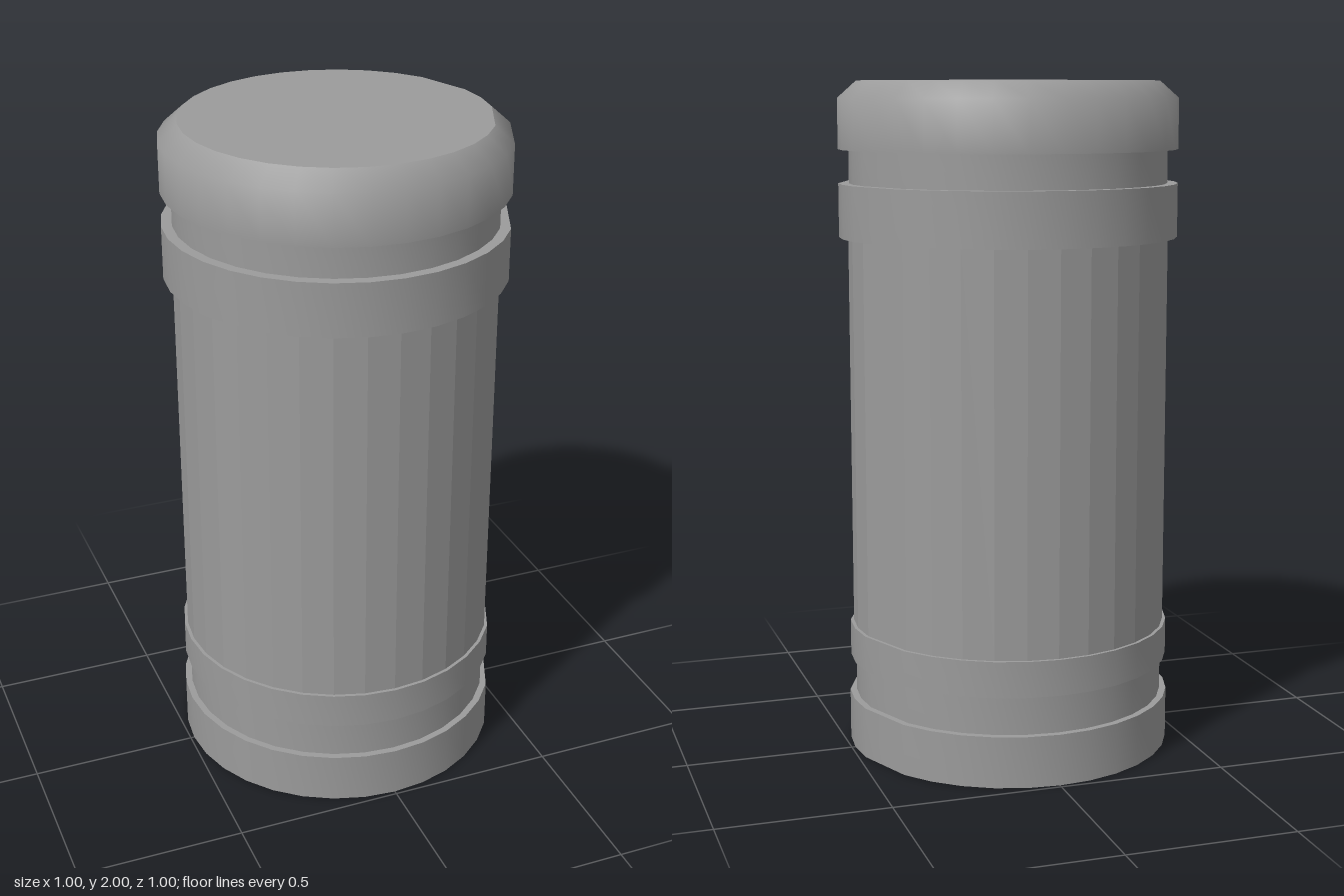
import * as THREE from 'three';
import { toCreasedNormals } from 'three/addons/utils/BufferGeometryUtils.js';

const SIDES = 32;
const STEP = (Math.PI * 2) / SIDES;

// Turned part; the two corners 22.5 degrees either side of +x are flattened onto wide facets
function turned(name, profile, crease) {
  const geometry = new THREE.LatheGeometry(profile.map(([r, y]) => new THREE.Vector2(r, y)), SIDES);
  const p = geometry.attributes.position;
  for (let i = 0; i < p.count; i++) {
    const x = p.getX(i), z = p.getZ(i);
    const angle = Math.abs(Math.atan2(z, x));
    if (Math.abs(angle - 2 * STEP) < 0.01) {
      p.setX(i, x * Math.cos(STEP));
      p.setZ(i, z * Math.cos(STEP));
    }
  }
  const flat = crease === 0;
  const material = new THREE.MeshStandardMaterial({ color: 0x9b9b9b, flatShading: flat });
  const mesh = new THREE.Mesh(flat ? geometry : toCreasedNormals(geometry, crease), material);
  mesh.name = name;
  return mesh;
}

// Straight band with a shelf at each end
const band = (name, r, y0, y1) => turned(name, [[0.44, y0], [r, y0], [r, y1], [0.44, y1]], 0.6);

export function createModel() {
  const group = new THREE.Group();
  group.name = 'bandedCylinder';
  group.add(
    // Base with closed underside
    turned('base', [[0, 0], [0.489, 0], [0.489, 0.153], [0.44, 0.153]], 0.6),
    turned('lowerGroove', [[0.469, 0.15], [0.469, 0.27]], 0.6),
    band('lowerBand', 0.485, 0.268, 0.375),
    // Faceted grip
    turned('body', [[0.475, 0.37], [0.475, 1.55]], 0),
    band('collar', 0.502, 1.545, 1.703),
    turned('upperGroove', [[0.471, 1.7], [0.471, 1.805]], 0.6),
    // Cap with softened bevel and flat top
    turned('cap', [[0.44, 1.802], [0.502, 1.802], [0.502, 1.95], [0.446, 2]], 0.9),
    turned('capTop', [[0.446, 2], [0, 2]], 0.6)
  );
  return group;
}
